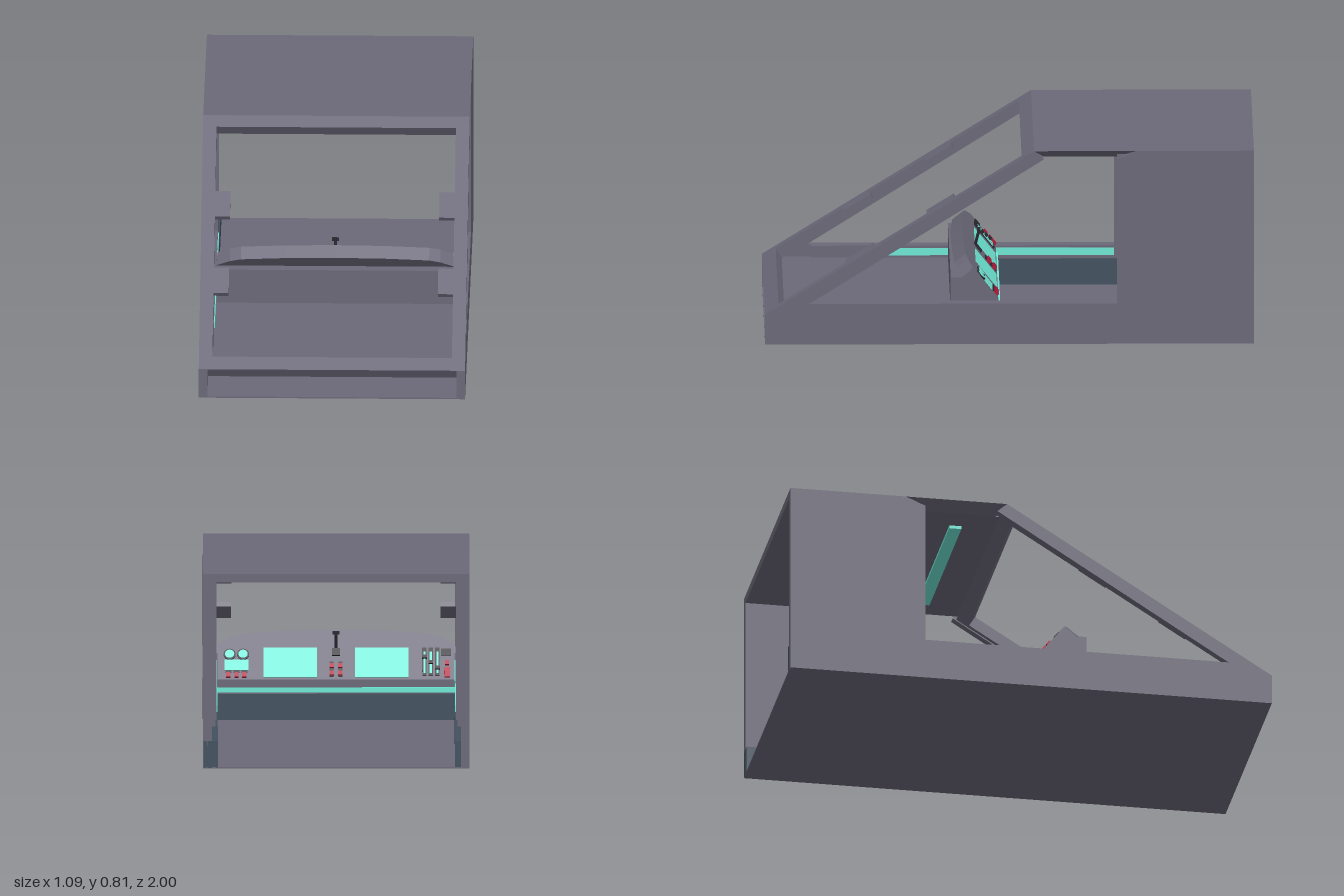
import * as THREE from 'three';
import { ConvexGeometry } from 'three/addons/geometries/ConvexGeometry.js';

const material = (color) => new THREE.MeshStandardMaterial({ color, flatShading: true });
const hull = material(0x6b6878), skirt = material(0x42505f), teal = material(0x6ee8d5);
const red = material(0xb01535), dark = material(0x26262e);

function add(parent, name, geometry, mat) {
  const mesh = new THREE.Mesh(geometry, mat);
  mesh.name = name;
  parent.add(mesh);
  return mesh;
}

// Box given by its lower and upper corners
function box(parent, name, mat, [x0, y0, z0], [x1, y1, z1]) {
  const mesh = add(parent, name, new THREE.BoxGeometry(x1 - x0, y1 - y0, z1 - z0), mat);
  mesh.position.set((x0 + x1) / 2, (y0 + y1) / 2, (z0 + z1) / 2);
  return mesh;
}

const polygon = (points) => new THREE.Shape(points.map(([a, b]) => new THREE.Vector2(a, b)));

// Side profile of [z, y] points, extruded from x0 to x1
function profile(parent, name, points, x0, x1) {
  const g = new THREE.ExtrudeGeometry(polygon(points), { depth: x1 - x0, bevelEnabled: false });
  g.rotateY(-Math.PI / 2).translate(x1, 0, 0);
  return add(parent, name, g, hull);
}

function buildSide(parent, s) {
  const span = (a, b) => [Math.min(s * a, s * b), Math.max(s * a, s * b)];
  const sideBox = (name, mat, a, b, y0, y1, z0, z1) => {
    const [x0, x1] = span(a, b);
    box(parent, name, mat, [x0, y0, z0], [x1, y1, z1]);
  };
  // Outer wall with the window cut through to the roof edge
  profile(parent, 'sideWall', [
    [1, 0], [1, 0.125], [-0.1, 0.81], [-0.14, 0.775], [0.82, 0.17],
    [-0.44, 0.17], [-0.44, 0.775], [-0.52, 0.81], [-1, 0.81], [-1, 0],
  ], ...span(0.51, 0.545));
  // Sloped eave above the window
  const eave = [[0.545, 0.81, -0.1], [0.545, 0.81, -0.52], [0.49, 0.775, -0.44],
    [0.49, 0.775, -0.14], [0.49, 0.81, -0.1], [0.49, 0.81, -0.52]];
  add(parent, 'windowEave', new ConvexGeometry(
    eave.map(([x, y, z]) => new THREE.Vector3(s * x, y, z))), hull);
  sideBox('windowSill', hull, 0.49, 0.52, 0.115, 0.17, -0.44, 0.8);
  sideBox('windowPillar', hull, 0.49, 0.52, 0.1, 0.79, -0.54, -0.44);
  sideBox('wallRib', hull, 0.495, 0.52, 0.1, 0.79, -0.68, -0.62);
  sideBox('skirting', skirt, 0.485, 0.544, 0.003, 0.115, -1.0, 0.07);
  sideBox('sillLight', teal, 0.486, 0.495, 0.13, 0.16, -0.44, 0.55);
}

// Sloping windscreen frame with two clips on each rail
function buildWindscreen(parent) {
  const frame = new THREE.Group();
  frame.name = 'windscreenFrame';
  frame.position.set(0, 0.125, 1);
  frame.rotation.x = -Math.atan2(1.1, 0.685);
  const shape = polygon([[-0.545, 0], [0.545, 0], [0.545, 1.296], [-0.545, 1.296]]);
  shape.holes.push(polygon([[-0.49, 0.065], [-0.49, 1.237], [0.49, 1.237], [0.49, 0.065]]));
  const g = new THREE.ExtrudeGeometry(shape, { depth: 0.047, bevelEnabled: false });
  add(frame, 'windscreenSurround', g.translate(0, 0, -0.047), hull);
  for (const s of [-1, 1]) for (const v of [0.455, 0.845]) {
    const clip = add(frame, 'windscreenClip', new THREE.BoxGeometry(0.08, 0.13, 0.02), hull);
    clip.position.set(s * 0.468, v, -0.01);
  }
  parent.add(frame);
}

function buildConsole(parent) {
  const group = new THREE.Group();
  group.name = 'console';
  parent.add(group);
  profile(group, 'consoleBody', [
    [0.24, 0.115], [0.24, 0.265], [0.19, 0.265], [0.15, 0.306], [0.045, 0.175], [0.045, 0.115],
  ], -0.485, 0.485);

  // Panel frame: local x runs to the model's right, y up the slope, z out of the panel
  const panel = new THREE.Group();
  panel.name = 'controlPanel';
  panel.applyMatrix4(new THREE.Matrix4().makeBasis(
    new THREE.Vector3(-1, 0, 0), new THREE.Vector3(0, 0.78, 0.625), new THREE.Vector3(0, 0.625, -0.78),
  ).setPosition(0, 0.175, 0.045));
  group.add(panel);

  // Arched hood along the top of the panel
  const arch = [[0.485, 0.165], [0.43, 0.198], [0.385, 0.213], [0.2, 0.226], [0, 0.23]];
  const left = arch.slice(0, 4).reverse().map(([x, y]) => [-x, y]);
  const hood = new THREE.ExtrudeGeometry(
    polygon([[-0.485, 0.12], [0.485, 0.12], ...arch, ...left]), { depth: 0.06, bevelEnabled: false });
  add(panel, 'consoleHood', hood.translate(0, 0, -0.059), hull);

  // Flat control at world x, slope position v
  const control = (name, mat, x, v, w, h, d = 0.006) => {
    const mesh = add(panel, name, new THREE.BoxGeometry(w, h, d), mat);
    mesh.position.set(-x, v, d / 2);
    return mesh;
  };
  for (const s of [-1, 1]) {
    control('screen', teal, s * 0.187, 0.078, 0.22, 0.138, 0.003);
    control('centreSwitch', dark, s * 0.018, 0.045, 0.016, 0.07, 0.004);
    for (const v of [0.025, 0.06]) control('centreButton', red, s * 0.018, v, 0.018, 0.02, 0.012);
  }
  // Sliders on the right
  control('alarmButton', red, -0.455, 0.03, 0.024, 0.045, 0.01);
  control('alarmSwitch', red, -0.455, 0.075, 0.016, 0.02, 0.01);
  control('keyRow', dark, -0.45, 0.125, 0.04, 0.03);
  [-0.415, -0.388, -0.362].forEach((x, i) => {
    control('sliderTrack', dark, x, 0.08, 0.018, 0.13, 0.004);
    control('sliderScale', teal, x, 0.075, 0.009, 0.1, 0.006);
    control('sliderKnob', dark, x, 0.05 + i * 0.025, 0.02, 0.014, 0.014);
  });
  // Gauges and buttons on the left
  control('gaugeDisplay', teal, 0.407, 0.066, 0.1, 0.05, 0.004);
  for (const x of [0.375, 0.407, 0.44]) {
    control('gaugeButton', red, x, 0.018, 0.018, 0.022, 0.01);
    control('gaugeSwitch', dark, x, 0.036, 0.024, 0.008);
  }
  for (const x of [0.38, 0.435]) {
    const rim = add(panel, 'gaugeRim', new THREE.CylinderGeometry(0.025, 0.025, 0.005, 16).rotateX(Math.PI / 2), dark);
    rim.position.set(-x, 0.115, 0.0025);
    const dial = add(panel, 'gaugeDial', new THREE.CylinderGeometry(0.019, 0.019, 0.008, 16).rotateX(Math.PI / 2), teal);
    dial.position.set(-x, 0.115, 0.004);
  }
  // Control stick
  control('stickBase', dark, 0, 0.125, 0.034, 0.034, 0.008);
  const stick = add(group, 'controlStick', new THREE.CylinderGeometry(0.006, 0.006, 0.07, 8), dark);
  stick.position.set(0, 0.318, 0.127);
  stick.rotation.x = -0.25;
  const grip = add(group, 'stickGrip', new THREE.BoxGeometry(0.028, 0.012, 0.014), dark);
  grip.position.set(0, 0.354, 0.119);
}

export function createModel() {
  const model = new THREE.Group();
  model.name = 'cockpit';
  // Floor, raised front deck and the step between them
  box(model, 'floor', hull, [-0.545, 0, -1], [0.545, 0.006, 1]);
  box(model, 'frontDeck', hull, [-0.51, 0.105, 0.05], [0.51, 0.12, 0.93]);
  box(model, 'stepPanel', skirt, [-0.486, 0.003, 0.045], [0.486, 0.115, 0.065]);
  box(model, 'stepLight', teal, [-0.486, 0.122, 0.036], [0.486, 0.142, 0.047]);
  // Roof and ceiling light
  profile(model, 'roof', [[-0.1, 0.81], [-1, 0.81], [-1, 0.775], [-0.12, 0.775]].reverse(), -0.49, 0.49);
  box(model, 'rearRoof', hull, [-0.53, 0.775, -1], [0.53, 0.81, -0.52]);
  box(model, 'ceilingLight', teal, [-0.375, 0.762, -0.31], [0.375, 0.776, -0.26]);
  for (const s of [-1, 1]) buildSide(model, s);
  buildWindscreen(model);
  buildConsole(model);
  return model;
}
